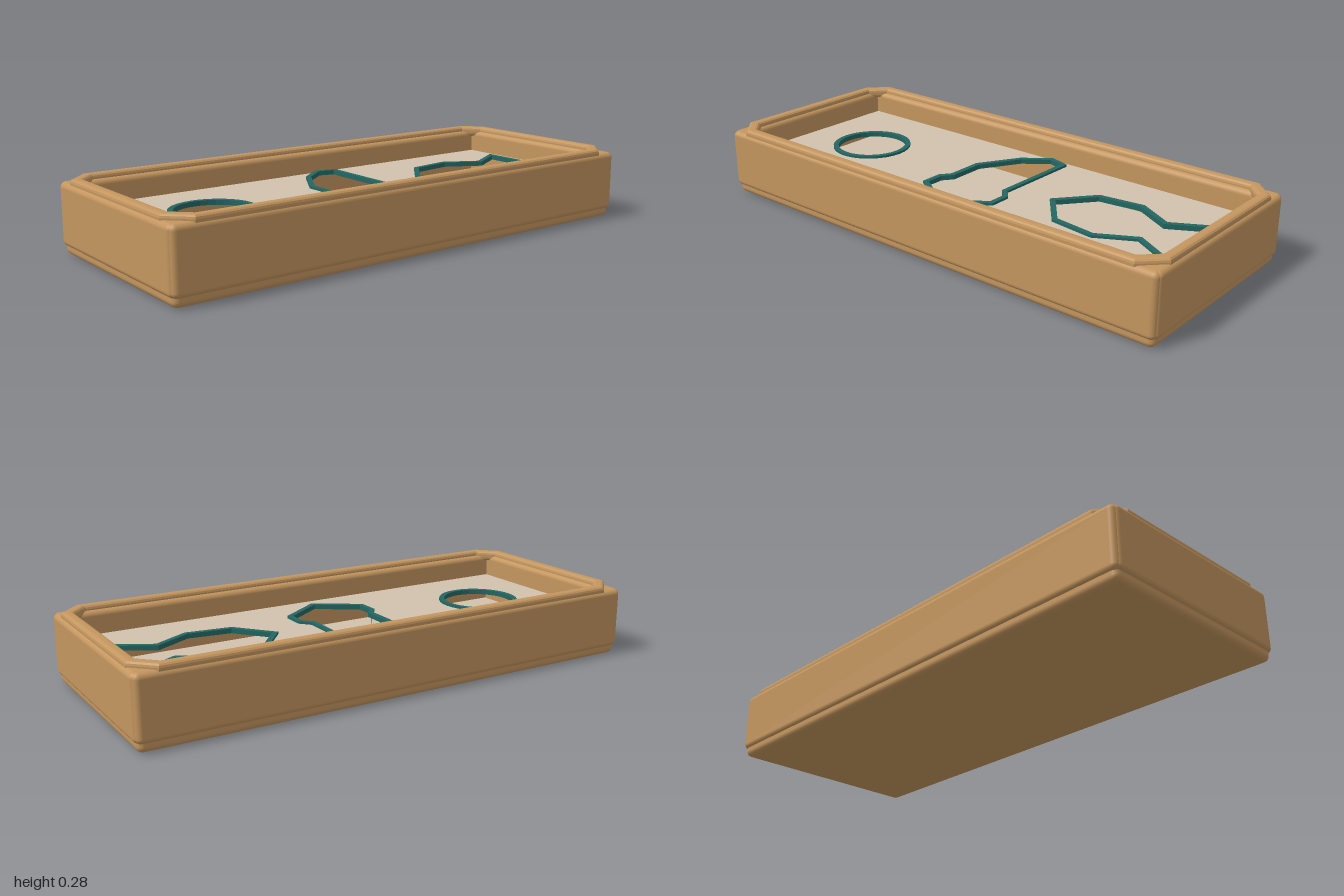
import * as THREE from 'three';
import { RoundedBoxGeometry } from 'three/addons/geometries/RoundedBoxGeometry.js';

const wood = new THREE.MeshStandardMaterial({ color: 0xc4965f });
wood.name = 'wood';
const board = new THREE.MeshStandardMaterial({ color: 0xd2c2ae });
board.name = 'pale board';
const trim = new THREE.MeshStandardMaterial({ color: 0x236662 });
trim.name = 'teal trim';

const toPoints = (list) => list.map(([x, z]) => new THREE.Vector2(x, -z));

// Moves each side of a closed polygon outward by d, with mitred corners
function offset(points, d) {
  const pts = THREE.ShapeUtils.isClockWise(points) ? points.slice().reverse() : points;
  const n = pts.length;
  return pts.map((p, i) => {
    const a = p.clone().sub(pts[(i + n - 1) % n]).normalize();
    const b = pts[(i + 1) % n].clone().sub(p).normalize();
    const na = new THREE.Vector2(a.y, -a.x);
    const nb = new THREE.Vector2(b.y, -b.x);
    const k = d / Math.max(0.3, 1 + na.dot(nb));
    return p.clone().add(na.add(nb).multiplyScalar(k));
  });
}

// Flat slab between two heights, with holes
function slab(outer, holes, y0, y1, bevel = 0) {
  const shape = new THREE.Shape(outer);
  for (const h of holes) shape.holes.push(new THREE.Path(h));
  const geo = new THREE.ExtrudeGeometry(shape, {
    depth: y1 - y0 - 2 * bevel, bevelEnabled: bevel > 0,
    bevelThickness: bevel, bevelSize: bevel, bevelSegments: 3,
  });
  geo.rotateX(-Math.PI / 2);
  geo.translate(0, y0 + bevel, 0);
  return geo;
}

// Rectangle with cut corners
function cutRect(x, z, c) {
  return toPoints([[x, z - c], [x, c - z], [x - c, -z], [c - x, -z],
    [-x, c - z], [-x, z - c], [c - x, z], [x - c, z]]);
}

export function createModel() {
  const group = new THREE.Group();
  const add = (name, geo, mat, x = 0, y = 0, z = 0) => {
    const mesh = new THREE.Mesh(geo, mat);
    mesh.name = name;
    mesh.position.set(x, y, z);
    group.add(mesh);
  };

  // Tray: base, four walls and a rail around the top
  add('base', new RoundedBoxGeometry(1.98, 0.06, 0.8, 3, 0.022), wood, 0, 0.03, 0);
  for (const s of [-1, 1]) {
    add('longWall', new RoundedBoxGeometry(1.99, 0.23, 0.068, 3, 0.02), wood, 0, 0.147, s * 0.376);
    add('endWall', new RoundedBoxGeometry(0.068, 0.23, 0.8, 3, 0.02), wood, s * 0.966, 0.147, 0);
  }
  add('rail', slab(cutRect(0.975, 0.39, 0.07), [cutRect(0.96, 0.375, 0.065)], 0.24, 0.281, 0.014), wood);

  // Outlines of the three recesses
  const circle = Array.from({ length: 32 }, (_, i) => {
    const a = (i / 32) * Math.PI * 2;
    return [-0.617 + 0.147 * Math.cos(a), 0.147 * Math.sin(a)];
  });
  const rocket = [[0.06, -0.33], [0.13, -0.31], [0.125, 0.045], [0.16, 0.085], [0.16, 0.163],
    [0, 0.27], [-0.16, 0.163], [-0.16, 0.085], [-0.13, 0.045], [-0.13, -0.1], [-0.038, -0.255]];
  const fish = [[0.31, 0], [0.42, -0.135], [0.59, -0.157], [0.73, -0.08], [0.877, -0.162],
    [0.877, 0.162], [0.73, 0.08], [0.59, 0.157], [0.42, 0.135]];
  const recesses = { circle, rocket, fish };

  // Insert with recesses and a floor below them
  const holes = Object.values(recesses).map(toPoints);
  const edge = toPoints([[-0.935, -0.345], [0.935, -0.345], [0.935, 0.345], [-0.935, 0.345]]);
  add('insert', slab(edge, holes, 0.055, 0.175), board);
  add('recessFloor', new THREE.BoxGeometry(1.86, 0.02, 0.68), board, 0, 0.058, 0);

  // Trim around each recess
  for (const [name, list] of Object.entries(recesses)) {
    const pts = toPoints(list);
    add(name + 'Trim', slab(offset(pts, 0.01), [offset(pts, -0.01)], 0.166, 0.184), trim);
  }
  return group;
}
